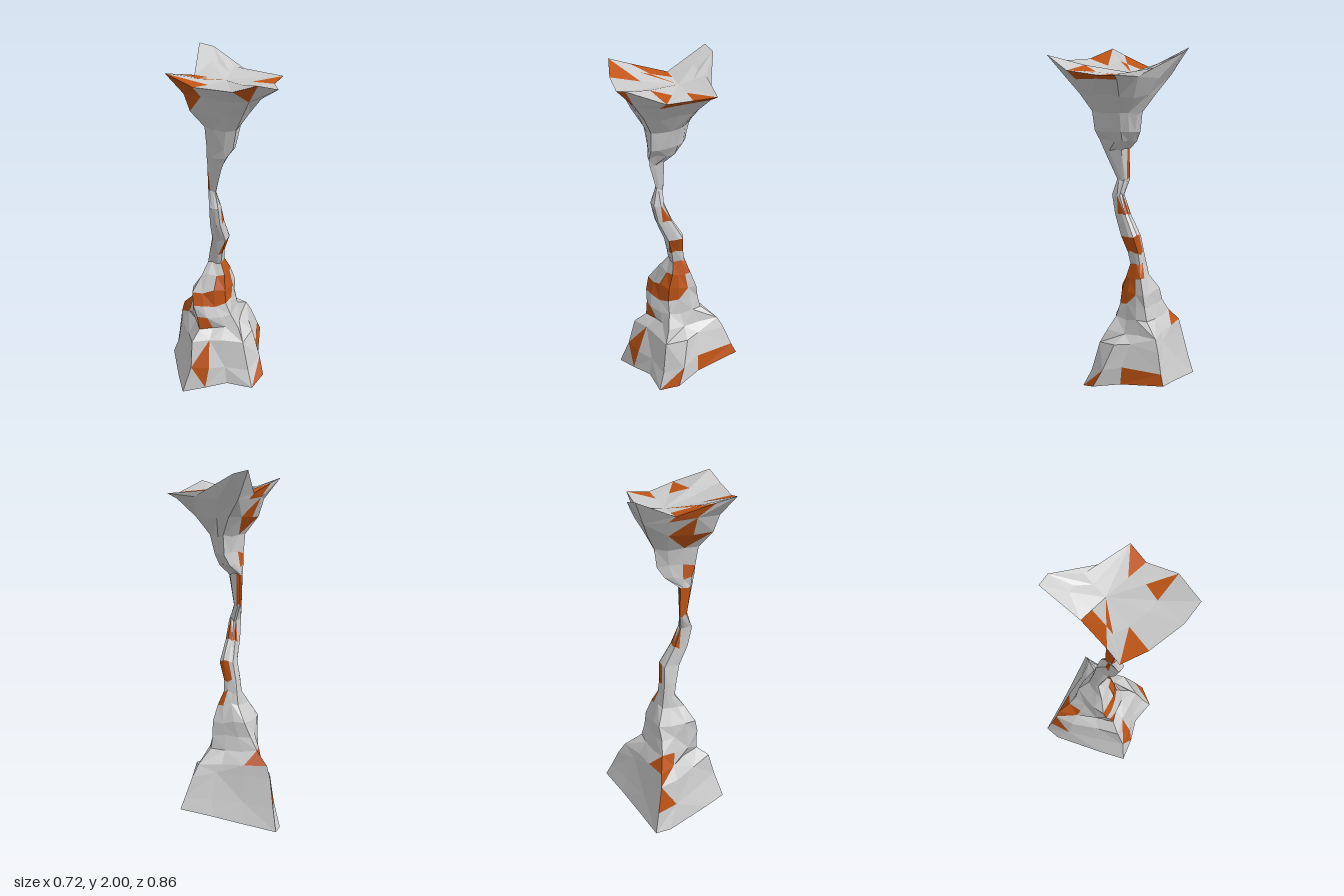
import * as THREE from 'three';

const SIDES = 12;
const GREY = 0xcccccc, RUST = 0xbf5416;

// Rust stains: x, y, z, radius
const STAINS = [
  [-0.33, 1.95, 0.05, 0.07], [-0.24, 1.87, 0.1, 0.07], [-0.13, 1.91, -0.07, 0.08],
  [0.14, 1.89, 0.28, 0.08], [0.25, 1.88, 0.14, 0.05], [-0.08, 1.94, 0.38, 0.05],
  [-0.13, 1.72, -0.06, 0.07], [-0.1, 1.5, -0.03, 0.05], [-0.09, 1.33, -0.02, 0.05],
  [-0.01, 1.08, 0.0, 0.05], [0.04, 0.88, -0.03, 0.06], [0.05, 0.72, -0.04, 0.06],
  [0.02, 0.61, 0.0, 0.09], [-0.12, 0.56, -0.02, 0.06], [-0.16, 0.42, 0.02, 0.05],
  [-0.23, 0.16, 0.1, 0.08], [-0.12, 0.25, -0.35, 0.06], [-0.11, 0.4, -0.28, 0.06],
  [0.28, 0.13, -0.07, 0.08], [0.14, 0.06, 0.2, 0.06], [0.2, 0.09, 0.08, 0.06],
];

// Small repeatable roughness
const rough = (y, i) => {
  const s = Math.sin(y * 91.7 + i * 47.3) * 4375.85;
  return (s - Math.floor(s) - 0.5) * 2;
};

// Four corners (back, right, front, left as [x, z]) become a rough twelve-point ring
function ring(y, ...corners) {
  const c = corners.map(([x, z]) => new THREE.Vector3(x, y, z));
  const mid = new THREE.Vector3();
  c.forEach((p) => mid.addScaledVector(p, 0.25));
  const bulge = y < 0.4 ? 0.97 : 1.12;
  const out = [];
  for (let i = 0; i < SIDES; i++) {
    const k = Math.floor(i / 3), t = (i % 3) / 3;
    const p = c[k].clone().lerp(c[(k + 1) % 4], t);
    if (t > 0) {
      const f = bulge + 0.07 * rough(y, i);
      p.x = mid.x + (p.x - mid.x) * f;
      p.z = mid.z + (p.z - mid.z) * f;
      p.y += 0.015 * rough(y + 3, i);
    }
    out.push(p);
  }
  return out;
}

// Ring from twelve given points, starting at the back corner
const loop = (...pts) => pts.map((p) => new THREE.Vector3(...p));
const point = (x, y, z) => Array.from({ length: SIDES }, () => new THREE.Vector3(x, y, z));
const shrink = (r, x, y, z, f, fy) =>
  r.map((p) => new THREE.Vector3(x + (p.x - x) * f, y + (p.y - y) * fy, z + (p.z - z) * f));

// Skin a stack of rings, sorting faces into clean rock and rust
function rock(name, rings) {
  const clean = [], rust = [];
  const face = (a, b, c) => {
    const m = a.clone().add(b).add(c).divideScalar(3);
    const hit = STAINS.some(([x, y, z, r]) => m.distanceTo(new THREE.Vector3(x, y, z)) < r);
    for (const p of [a, b, c]) (hit ? rust : clean).push(p.x, p.y, p.z);
  };
  for (let k = 0; k + 1 < rings.length; k++) {
    for (let i = 0; i < SIDES; i++) {
      const j = (i + 1) % SIDES;
      const a = rings[k][i], b = rings[k][j], c = rings[k + 1][i], d = rings[k + 1][j];
      if ((i + k) % 2) {
        if (!a.equals(b)) face(a, c, b);
        if (!c.equals(d)) face(b, c, d);
      } else {
        if (!c.equals(d)) face(a, c, d);
        if (!a.equals(b)) face(a, d, b);
      }
    }
  }
  const group = new THREE.Group();
  group.name = name;
  for (const [label, list, color] of [['Rock', clean, GREY], ['Rust', rust, RUST]]) {
    if (!list.length) continue;
    const g = new THREE.BufferGeometry();
    g.setAttribute('position', new THREE.Float32BufferAttribute(list, 3));
    g.computeVertexNormals();
    const mesh = new THREE.Mesh(g, new THREE.MeshStandardMaterial({ color, flatShading: true }));
    mesh.name = name + label;
    group.add(mesh);
  }
  return group;
}

export function createModel() {
  const model = new THREE.Group();
  model.name = 'rockPillar';

  // Rings shared by neighbouring parts
  const ankle = ring(0.76, [-0.01, -0.125], [0.05, -0.08], [0, -0.03], [-0.06, -0.08]);
  const neck = ring(1.25, [-0.07, -0.035], [-0.05, 0], [-0.07, 0.04], [-0.095, 0]);

  // Spreading four-cornered foot with a front lobe, ledges and a tilted underside
  const foot = loop(
    [-0.11, 0.02, -0.43], [0.05, 0.06, -0.34], [0.2, 0.1, -0.26],
    [0.36, 0.14, -0.18], [0.215, 0.1, 0.05], [0.165, 0.07, 0.205],
    [0.06, 0.035, 0.255], [-0.06, 0.05, 0.16], [-0.19, 0.04, 0.13],
    [-0.315, 0.02, 0.08], [-0.27, 0.02, -0.07], [-0.17, 0.02, -0.36],
  );
  model.add(rock('base', [
    point(-0.05, 0, -0.07),
    shrink(foot, -0.05, 0.005, -0.07, 0.55, 0.5),
    foot,
    loop(
      [-0.11, 0.14, -0.395], [0.03, 0.17, -0.31], [0.19, 0.19, -0.23],
      [0.33, 0.2, -0.17], [0.205, 0.2, 0.04], [0.17, 0.17, 0.15],
      [0.06, 0.13, 0.205], [-0.06, 0.15, 0.135], [-0.16, 0.16, 0.12],
      [-0.255, 0.17, 0.075], [-0.22, 0.16, -0.08], [-0.17, 0.15, -0.28],
    ),
    loop(
      [-0.11, 0.3, -0.355], [0.01, 0.32, -0.285], [0.15, 0.33, -0.2],
      [0.28, 0.31, -0.16], [0.18, 0.33, -0.01], [0.155, 0.32, 0.08],
      [0.05, 0.3, 0.155], [-0.07, 0.32, 0.1], [-0.13, 0.32, 0.07],
      [-0.23, 0.32, 0.04], [-0.19, 0.3, -0.09], [-0.16, 0.3, -0.25],
    ),
    ring(0.375, [-0.1, -0.335], [0.24, -0.15], [0.045, 0.11], [-0.165, 0.01]),
    ring(0.45, [-0.07, -0.265], [0.145, -0.11], [0.02, 0.055], [-0.17, -0.01]),
    ring(0.52, [-0.05, -0.225], [0.13, -0.1], [0, 0.03], [-0.185, -0.03]),
    ring(0.6, [-0.02, -0.205], [0.125, -0.09], [0, 0.02], [-0.18, -0.05]),
    ring(0.69, [-0.01, -0.14], [0.09, -0.08], [0.01, -0.005], [-0.115, -0.06]),
    ankle,
  ]));

  // Thin crooked stem
  model.add(rock('stem', [
    ankle,
    ring(0.83, [-0.01, -0.11], [0.045, -0.07], [0, -0.015], [-0.06, -0.06]),
    ring(0.93, [0, -0.09], [0.06, -0.04], [0, 0.025], [-0.06, -0.02]),
    ring(1.05, [-0.04, -0.035], [0.005, 0], [-0.05, 0.055], [-0.095, 0.02]),
    ring(1.16, [-0.06, 0], [-0.03, 0.03], [-0.07, 0.07], [-0.11, 0.04]),
    neck,
  ]));

  // Flaring cap with an uneven rim and a shallow dish on top
  const rim = loop(
    [0.03, 2, -0.35], [0.1, 1.98, -0.31], [0.14, 1.9, -0.14],
    [0.32, 1.88, 0.09], [0.22, 1.87, 0.17], [0.15, 1.89, 0.33],
    [-0.03, 1.96, 0.43], [-0.13, 1.92, 0.35], [-0.27, 1.92, 0.18],
    [-0.36, 1.97, 0.04], [-0.27, 1.94, -0.02], [-0.1, 1.88, -0.15],
  );
  model.add(rock('cap', [
    neck,
    ring(1.42, [-0.07, -0.03], [-0.03, 0.02], [-0.07, 0.115], [-0.11, 0.02]),
    ring(1.48, [0.01, -0.065], [0.035, 0.02], [-0.06, 0.14], [-0.115, 0.02]),
    ring(1.54, [0.05, -0.08], [0.06, 0.03], [-0.03, 0.17], [-0.125, 0.04]),
    ring(1.65, [0.06, -0.09], [0.085, 0.04], [-0.02, 0.185], [-0.14, 0.05]),
    ring(1.75, [0.06, -0.165], [0.165, 0.05], [-0.02, 0.255], [-0.225, 0.05]),
    ring(1.85, [0.04, -0.25], [0.27, 0.07], [-0.03, 0.34], [-0.26, 0.05]),
    rim,
    shrink(rim, 0.03, 1.87, -0.03, 0.55, 0.4),
    point(0.03, 1.865, -0.03),
  ]));

  return model;
}
